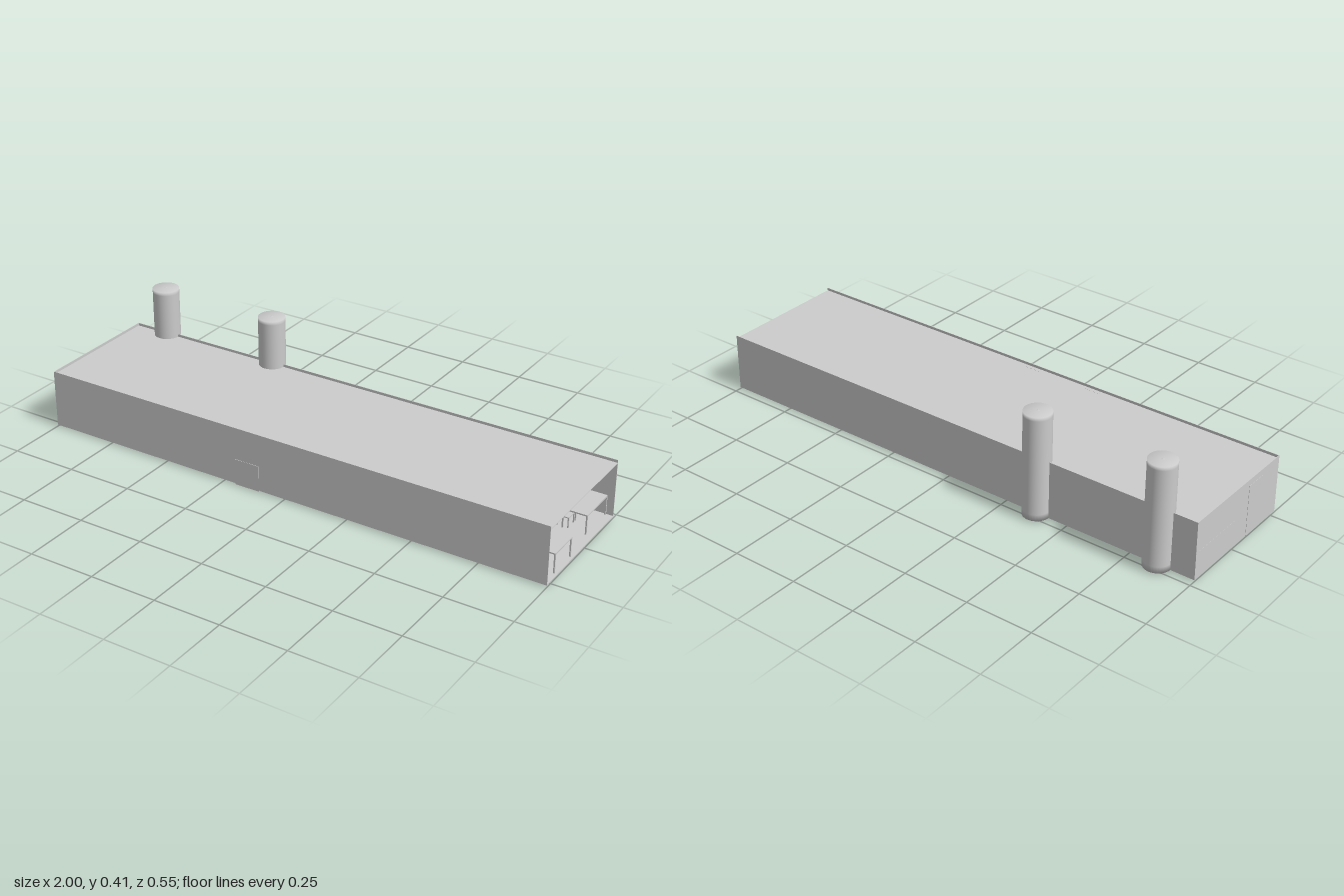
import * as THREE from 'three';

const grey = new THREE.MeshStandardMaterial({ color: 0xcccccc, side: THREE.DoubleSide });

// Box given by its limits on each axis
function box(parent, name, x0, x1, y0, y1, z0, z1) {
  const mesh = new THREE.Mesh(new THREE.BoxGeometry(x1 - x0, y1 - y0, z1 - z0), grey);
  mesh.position.set((x0 + x1) / 2, (y0 + y1) / 2, (z0 + z1) / 2);
  mesh.name = name;
  parent.add(mesh);
  return mesh;
}

// Four square legs under a rectangle
function legs(parent, name, w, d, top, t) {
  for (const sx of [-1, 1]) for (const sz of [-1, 1]) {
    const x = sx * (w - t) / 2, z = sz * (d - t) / 2;
    box(parent, name, x - t / 2, x + t / 2, 0.004, top, z - t / 2, z + t / 2);
  }
}

function table(x, z, w, d) {
  const g = new THREE.Group();
  g.name = 'table';
  box(g, 'tableTop', -w / 2, w / 2, 0.078, 0.083, -d / 2, d / 2);
  legs(g, 'tableLeg', w, d, 0.078, 0.005);
  g.position.set(x, 0, z);
  return g;
}

// Chair facing +x
function chair(x, z, turn = 0) {
  const g = new THREE.Group();
  g.name = 'chair';
  box(g, 'chairSeat', -0.022, 0.022, 0.045, 0.049, -0.023, 0.023);
  box(g, 'chairBack', -0.022, -0.019, 0.049, 0.112, -0.023, 0.023);
  legs(g, 'chairLeg', 0.044, 0.046, 0.045, 0.004);
  g.position.set(x, 0, z);
  g.rotation.y = turn;
  return g;
}

// Round column with softly shaded ends
function column(x) {
  const r = 0.05;
  const profile = [[0, 0.006], [r, 0.006], [r, 0.03], [r, 0.39], [r, 0.404], [0.008, 0.404], [0, 0.406]]
    .map(p => new THREE.Vector2(...p));
  const mesh = new THREE.Mesh(new THREE.LatheGeometry(profile, 32), grey);
  mesh.position.set(x, 0, -0.225);
  mesh.name = 'column';
  return mesh;
}

export function createModel() {
  const model = new THREE.Group();
  model.name = 'longHall';

  // Shell, open at the +x end, with the roof set just below the wall tops
  const shell = new THREE.Group();
  shell.name = 'shell';
  const t = 0.002, back = -0.225, front = 0.275, top = 0.224;
  box(shell, 'floor', -1, 1, 0.006, 0.009, back, front);
  box(shell, 'roof', -1, 1, 0.212, 0.214, back + t, front - t);
  box(shell, 'frontWall', -1, 1, 0.009, top, front - t, front);
  box(shell, 'backWall', -1, 1, 0.009, top, back, back + t);
  box(shell, 'endWall', -1, -1 + t, 0.009, top, back + t, front - t);
  model.add(shell);

  // Columns on the back wall line
  for (const x of [-0.86, -0.38]) model.add(column(x));

  // End door, rug, and fittings along the walls
  box(model, 'endDoor', -1.001, -0.995, 0.006, 0.2, 0.087, 0.172);
  box(model, 'rug', -0.81, -0.51, 0, 0.011, -0.152, 0.147);
  box(model, 'sideboard', -0.2, -0.1, 0.003, 0.102, 0.233, 0.2765);
  box(model, 'bench', -0.2, -0.1, 0.007, 0.055, 0.205, 0.232);
  box(model, 'endCounter', -1.0005, -0.94, 0.007, 0.108, back, 0.005);
  for (const x of [-0.26, 0]) box(model, 'tallCabinet', x - 0.03, x + 0.03, 0.007, 0.2145, 0.257, 0.272);
  box(model, 'stand', -0.62, -0.56, 0.007, 0.065, -0.215, -0.176);
  box(model, 'screenPost', -0.594, -0.586, 0.065, 0.162, -0.201, -0.192);

  // Two tables with paired chairs at the open end
  model.add(table(0.93, -0.143, 0.09, 0.157), table(0.945, 0.142, 0.09, 0.122));
  for (const z of [-0.15, -0.094]) model.add(chair(0.885, z));
  for (const z of [0.16, 0.108]) model.add(chair(0.885, z));

  // Further table groups along the hall
  for (const [x, z] of [[0.55, -0.143], [0.48, 0.142], [-0.17, -0.143]]) {
    model.add(table(x, z, 0.1, 0.122));
    for (const dz of [-0.026, 0.026]) {
      model.add(chair(x - 0.05, z + dz), chair(x + 0.05, z + dz, Math.PI));
    }
  }

  // Small middle tables with a chair at one end and one at a side
  for (const x of [0.35, -0.06]) {
    model.add(table(x, 0.03, 0.09, 0.073), chair(x, 0.03, Math.PI / 2), chair(x - 0.05, -0.04));
  }
  return model;
}
